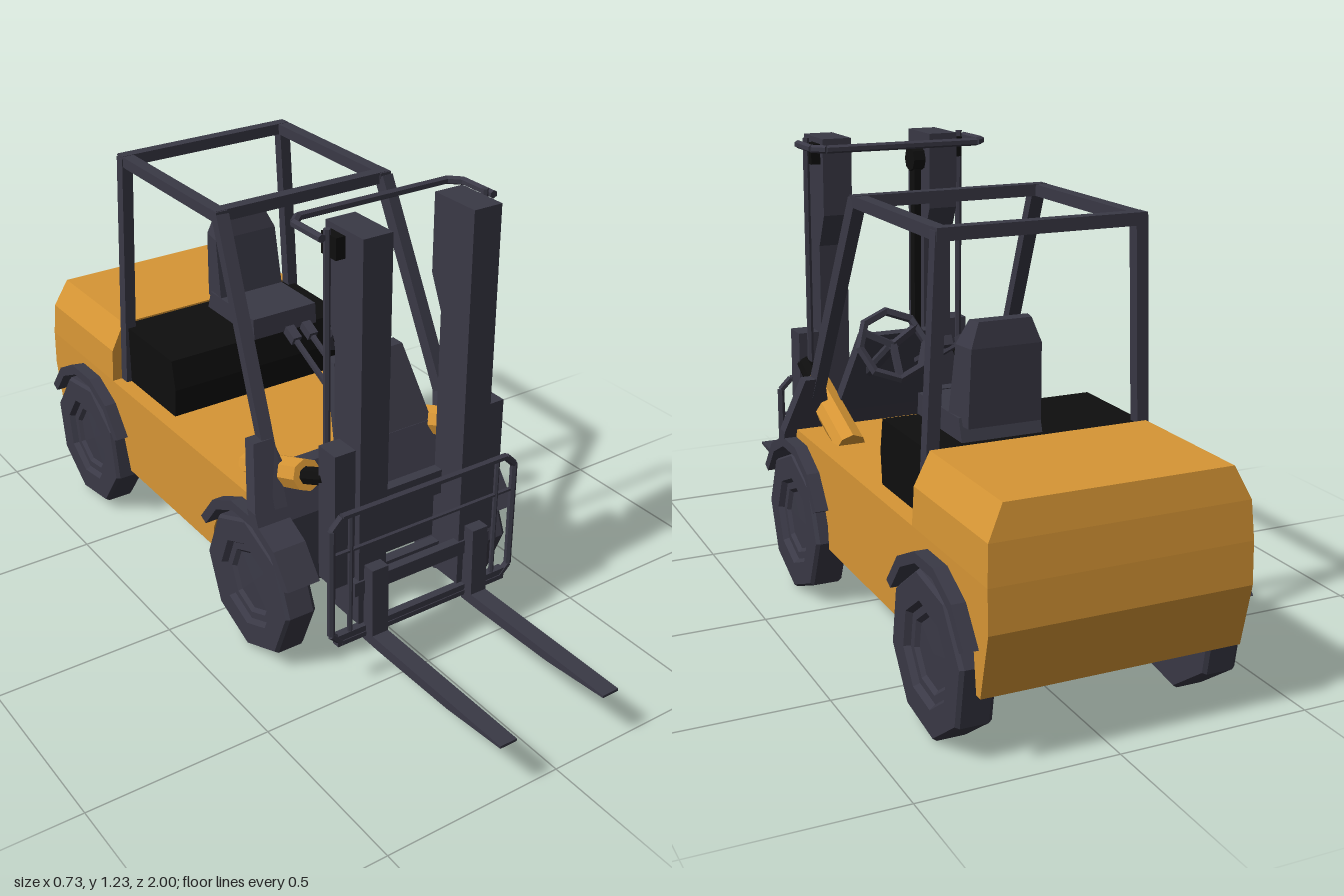
import * as THREE from 'three';
import { ConvexGeometry } from 'three/addons/geometries/ConvexGeometry.js';

export function createModel() {
  const model = new THREE.Group();
  const mat = (name, color) => {
    const m = new THREE.MeshStandardMaterial({ color });
    m.name = name;
    return m;
  };
  const slate = mat('slate', 0x3a3946);
  const orange = mat('orange', 0xd79635);
  const black = mat('black', 0x0e0e0e);

  // Adds a faceted mesh
  const add = (name, geo, material) => {
    const g = geo.index ? geo.toNonIndexed() : geo;
    g.computeVertexNormals();
    const m = new THREE.Mesh(g, material);
    m.name = name;
    model.add(m);
    return m;
  };
  // Box given by its limits
  const box = (name, material, x0, x1, y0, y1, z0, z1) =>
    add(name, new THREE.BoxGeometry(x1 - x0, y1 - y0, z1 - z0)
      .translate((x0 + x1) / 2, (y0 + y1) / 2, (z0 + z1) / 2), material);
  // Side profile of [z, y] points extruded across x
  const side = (name, material, pts, x0, x1) => {
    const shape = new THREE.Shape(pts.map(p => new THREE.Vector2(...p)));
    const g = new THREE.ExtrudeGeometry(shape, { depth: x1 - x0, bevelEnabled: false });
    return add(name, g.rotateY(-Math.PI / 2).translate(x1, 0, 0), material);
  };
  const hull = (name, material, pts) =>
    add(name, new ConvexGeometry(pts.map(p => new THREE.Vector3(...p))), material);
  // Straight square bar between two points
  const bar = (name, material, a, b, w, h = w) => {
    const A = new THREE.Vector3(...a), B = new THREE.Vector3(...b);
    const m = add(name, new THREE.BoxGeometry(w, h, A.distanceTo(B)), material);
    m.position.copy(A).lerp(B, 0.5);
    m.lookAt(B);
    return m;
  };
  // Round rod between two points
  const rod = (name, material, a, b, r, sides = 8) => {
    const A = new THREE.Vector3(...a), B = new THREE.Vector3(...b);
    const g = new THREE.CylinderGeometry(r, r, A.distanceTo(B), sides).rotateX(Math.PI / 2);
    const m = add(name, g, material);
    m.position.copy(A).lerp(B, 0.5);
    m.lookAt(B);
    return m;
  };
  // Bent tube through straight runs with clipped corners
  const pipe = (name, pts, r, bend, closed = false) => {
    const P = pts.map(p => new THREE.Vector3(...p)), n = P.length, path = [];
    P.forEach((p, i) => {
      if (!closed && (i === 0 || i === n - 1)) return path.push(p);
      for (const q of [P[(i + n - 1) % n], P[(i + 1) % n]])
        path.push(p.clone().add(q.clone().sub(p).setLength(bend)));
    });
    path.forEach((p, i) => {
      const q = path[i + 1] || (closed && path[0]);
      if (q) rod(name, slate, p.toArray(), q.toArray(), r, 6);
    });
  };
  const arc = (cz, cy, r, from, to, n) => Array.from({ length: n + 1 }, (_, i) => {
    const a = THREE.MathUtils.degToRad(from + (to - from) * i / n);
    return [cz + r * Math.cos(a), cy + r * Math.sin(a)];
  });

  const FZ = 0.175, RZ = -0.742, WY = 0.2;

  // Chassis with wheel arches and lower counterweight
  side('chassis', orange, [
    [0.22, 0.455], [-0.995, 0.455], [-1, 0.35], [-0.965, 0.19], [-0.945, 0.19],
    ...arc(RZ, WY, 0.215, 150, 30, 6), [-0.52, 0.19], [-0.04, 0.19],
    ...arc(FZ, WY, 0.215, 165, 80, 4)], -0.33, 0.33);
  box('chassisCore', orange, -0.26, 0.26, 0.19, 0.45, -0.06, 0.2);

  // Tapered counterweight top
  const cw = [];
  for (const [y, x, z] of [[0.455, 0.33, -0.995], [0.55, 0.325, -0.985], [0.63, 0.285, -0.97]])
    for (const s of [-1, 1]) cw.push([s * x, y, -0.6], [s * x, y, z]);
  hull('counterweight', orange, cw);

  // Engine cover and seat
  side('engineCover', black, [[-0.31, 0.455], [-0.3, 0.54], [-0.315, 0.625], [-0.602, 0.625],
    [-0.602, 0.455]], -0.285, 0.285);
  side('seatCushion', slate, [[-0.31, 0.62], [-0.315, 0.68], [-0.55, 0.68], [-0.57, 0.62]], -0.02, 0.19);
  const back = [];
  for (const s of [-1, 1]) {
    for (const [y, w, z0, z1] of [[0.66, 0.105, -0.49, -0.58], [0.85, 0.1, -0.52, -0.585],
      [0.91, 0.075, -0.54, -0.575]])
      back.push([0.085 + s * w, y, z0], [0.085 + s * w * 0.9, y, z1]);
  }
  hull('seatBack', slate, back);

  // Wheels: eight-sided tyre with a recessed hub
  const tyre = [[0, -0.045], [0.19, -0.045], [0.197, -0.035], [0.197, 0.035], [0.19, 0.045],
    [0.125, 0.045], [0.115, 0.03], [0.095, 0.03], [0.085, 0.02], [0, 0.022]]
    .map(p => new THREE.Vector2(...p));
  const wheel = (name, s, z, x, turn) => {
    const g = new THREE.LatheGeometry(tyre, 8).rotateZ(-Math.PI / 2);
    if (s < 0) g.rotateY(Math.PI);
    add(name, g.rotateX(turn).translate(s * x, WY, z), slate);
  };
  for (const s of [-1, 1]) {
    wheel('frontWheel', s, FZ, 0.313, 0);
    wheel('rearWheel', s, RZ, 0.317, 0.24);
    // Fenders
    for (const z of [FZ, RZ])
      side('fender', slate, [...arc(z, WY, 0.237, 25, 155, 5), ...arc(z, WY, 0.21, 155, 25, 5)],
        s > 0 ? 0.27 : -0.365, s > 0 ? 0.365 : -0.27);
  }
  rod('rearAxle', slate, [-0.28, WY, RZ], [0.28, WY, RZ], 0.04);

  // Front bulkhead: raised sides, leaning back
  const cowl = new THREE.Shape([[-0.365, 0.41], [0.365, 0.41], [0.365, 0.45], [0.325, 0.61],
    [0.27, 0.61], [0.25, 0.53], [-0.25, 0.53], [-0.27, 0.61], [-0.325, 0.61], [-0.365, 0.45]]
    .map(p => new THREE.Vector2(...p)));
  const cowlGeo = new THREE.ExtrudeGeometry(cowl, { depth: 0.04, bevelEnabled: false });
  const cp = cowlGeo.attributes.position;
  for (let i = 0; i < cp.count; i++) cp.setZ(i, cp.getZ(i) + 0.21 - (cp.getY(i) - 0.43) * 0.42);
  add('cowl', cowlGeo, slate);
  box('frontPlate', slate, -0.265, 0.265, 0.19, 0.43, 0.2, 0.25);

  // Dashboard, steering and levers
  const dash = [];
  for (const [y, x0, x1, z] of [[0.5, -0.08, 0.22, 0.18], [0.73, -0.04, 0.18, 0.075]])
    for (const x of [x0, x1]) dash.push([x, y, z], [x, y, z + 0.04]);
  hull('dashboard', slate, dash);
  const hub = new THREE.Vector3(0.14, 0.73, -0.035);
  rod('steeringColumn', slate, hub.toArray(), [0.14, 0.61, 0.15], 0.016);
  const steering = add('steeringWheel', new THREE.TorusGeometry(0.093, 0.012, 5, 8), slate);
  steering.position.copy(hub);
  steering.lookAt(0.14, 0.73 + 0.52, -0.035 - 0.85);
  for (let i = 0; i < 3; i++) {
    const a = Math.PI / 2 + i * Math.PI * 2 / 3, u = 0.09 * Math.sin(a);
    bar('steeringSpoke', slate, hub.toArray(),
      [hub.x + 0.09 * Math.cos(a), hub.y - u * 0.85, hub.z - u * 0.52], 0.016);
  }
  for (const x of [-0.04, 0.012]) {
    bar('lever', slate, [x, 0.64, 0.11], [x, 0.73, -0.075], 0.012);
    bar('leverKnob', slate, [x, 0.725, -0.06], [x, 0.745, -0.1], 0.026);
  }

  // Overhead guard
  for (const s of [-1, 1]) {
    bar('frontPillar', slate, [s * 0.252, 1.125, -0.08], [s * 0.288, 0.44, 0.23], 0.035);
    bar('rearPost', slate, [s * 0.255, 1.13, -0.584], [s * 0.285, 0.455, -0.584], 0.032);
    bar('roofRail', slate, [s * 0.252, 1.122, -0.07], [s * 0.252, 1.122, -0.6], 0.034, 0.03);
  }
  for (const z of [-0.09, -0.585]) box('roofCrossbar', slate, -0.268, 0.268, 1.107, 1.138, z - 0.016, z + 0.016);

  // Mast uprights, braces and tilt cylinders
  const upright = [[0.46, 0.18], [0.46, 1.23], [0.31, 1.23], [0.31, 1.02], [0.35, 0.93], [0.35, 0.18]];
  for (const s of [-1, 1]) {
    const span = (a, b) => (s > 0 ? [a, b] : [-b, -a]);
    side('mastUpright', slate, upright, ...span(0.117, 0.2));
    box('mastBracket', slate, ...span(0.2, 0.26), 0.3, 0.68, 0.37, 0.44);
    box('mastRoller', black, ...span(0.2, 0.226), 1.16, 1.215, 0.33, 0.39);
    rod('mastGuide', slate, [s * 0.23, 0.3, 0.36], [s * 0.23, 1.23, 0.36], 0.009, 6);
    rod('tiltCylinder', orange, [s * 0.24, 0.445, 0.02], [s * 0.24, 0.55, 0.29], 0.042);
    rod('tiltRod', black, [s * 0.24, 0.54, 0.27], [s * 0.24, 0.59, 0.38], 0.024);
    // Forks
    side('fork', slate, [[0.46, 0.13], [0.53, 0.13], [0.8, 0.137], [1, 0.156], [1, 0.163],
      [0.5, 0.16], [0.495, 0.355], [0.46, 0.355]], ...span(0.135, 0.184));
    rod('backrestUpright', slate, [s * 0.23, 0.16, 0.465], [s * 0.23, 0.53, 0.465], 0.007, 6);
  }
  for (const y of [0.2, 0.42]) box('mastCrossbar', slate, -0.12, 0.12, y, y + 0.07, 0.35, 0.38);
  pipe('mastHoop', [[-0.25, 1.213, 0.37], [-0.25, 1.213, 0.225], [0.25, 1.213, 0.225],
    [0.25, 1.213, 0.37]], 0.011, 0.03);

  // Lift chain and pulley
  box('liftChain', black, -0.11, -0.09, 0.23, 1.18, 0.355, 0.385);
  rod('chainPulley', black, [-0.118, 1.155, 0.37], [-0.082, 1.155, 0.37], 0.034);

  // Carriage and load backrest
  box('carriageBar', slate, -0.215, 0.215, 0.272, 0.312, 0.44, 0.465);
  box('lowerCarriageBar', slate, -0.27, 0.27, 0.145, 0.178, 0.45, 0.472);
  pipe('loadBackrest', [[-0.287, 0.155, 0.465], [0.287, 0.155, 0.465], [0.287, 0.525, 0.465],
    [-0.287, 0.525, 0.465]], 0.01, 0.03, true);
  rod('backrestRail', slate, [-0.287, 0.42, 0.465], [0.287, 0.42, 0.465], 0.006, 6);

  return model;
}
